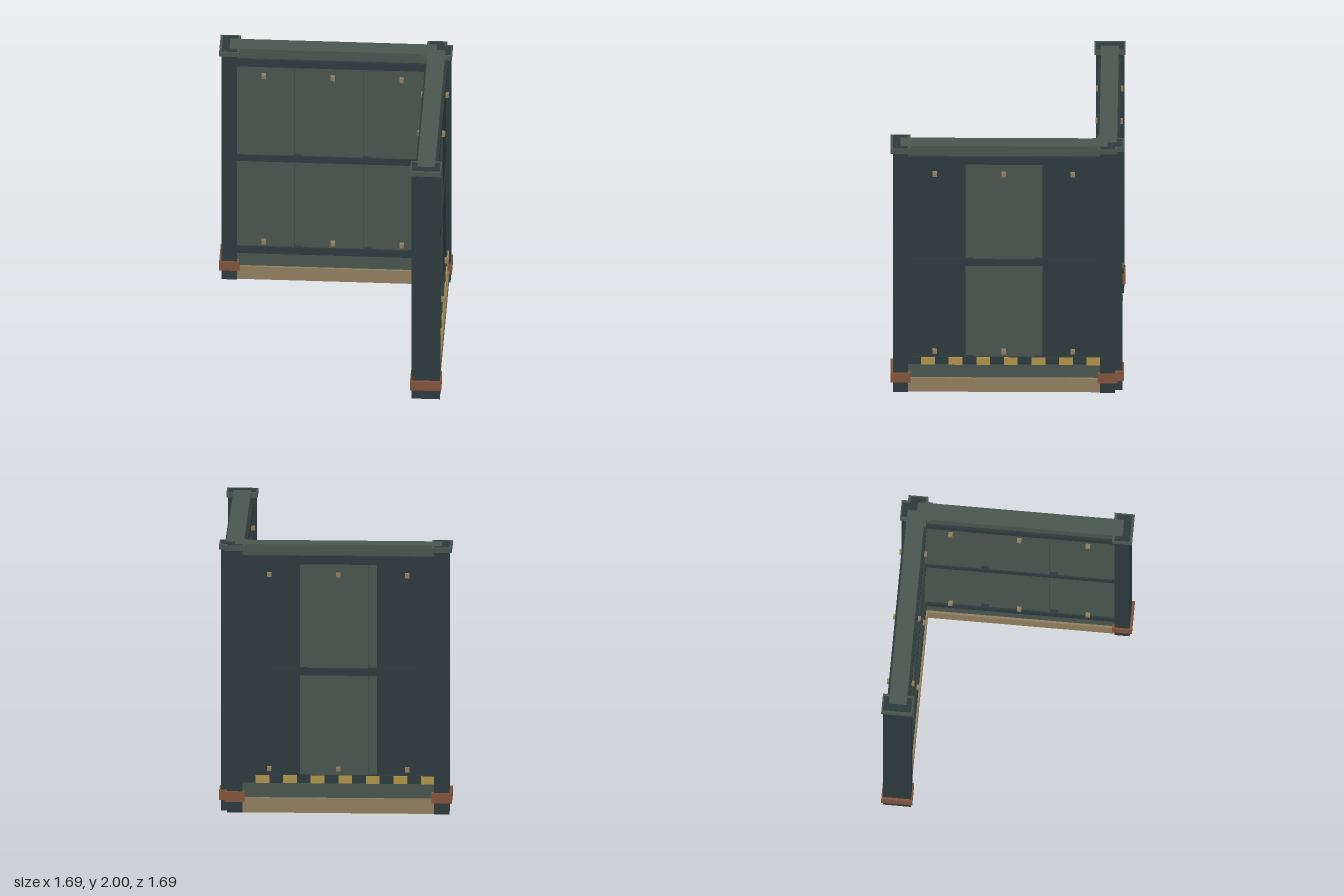
import * as THREE from 'three';

const mat = (color) => new THREE.MeshStandardMaterial({ color, flatShading: true });

export function createModel() {
  const light = mat(0x4a5751), dark = mat(0x2d3b3d), tan = mat(0x93805f);
  const rust = mat(0x84553d), yellow = mat(0xb2944b);

  // One wall: runs along x, its outer face looks towards -z
  function buildWall(name) {
    const wall = new THREE.Group();
    wall.name = name;

    // Box given by centre x, bottom, top, width, and its z range
    const box = (part, material, x, y0, y1, width, z0, z1) => {
      const mesh = new THREE.Mesh(new THREE.BoxGeometry(width, y1 - y0, z1 - z0), material);
      mesh.position.set(x, (y0 + y1) / 2, (z0 + z1) / 2);
      mesh.name = part;
      wall.add(mesh);
    };
    // Same, but centred on the wall's thickness
    const beam = (part, material, x, y0, y1, width, depth) =>
      box(part, material, x, y0, y1, width, -depth / 2, depth / 2);

    // Horizontal members
    beam('kickBoard', tan, 0, 0, 0.11, 1.41, 0.184);
    beam('sill', light, 0, 0.11, 0.22, 1.41, 0.15);
    beam('lowerRail', dark, 0, 0.22, 0.28, 1.41, 0.164);
    beam('middleRail', dark, 0, 1.025, 1.08, 1.41, 0.156);
    beam('upperRail', dark, 0, 1.857, 1.92, 1.41, 0.164);
    beam('topRail', light, 0, 1.92, 2, 1.5, 0.128);

    // Recessed core with three plates on each face
    beam('core', light, 0, 0.28, 1.857, 1.41, 0.1);
    for (const [x, width] of [[-0.49, 0.42], [0, 0.44], [0.49, 0.42]]) {
      box('innerPlate', light, x, 0.28, 1.857, width, 0.05, 0.07);
      box('outerPlate', x ? dark : light, x, 0.28, 1.857, width, -0.07, -0.05);
    }

    // Bolts at the head and foot of every plate
    for (const x of [-0.5, 0, 0.5])
      for (const y of [0.328, 1.78])
        beam('bolt', tan, x, y - 0.016, y + 0.016, 0.032, 0.2);

    // Warning blocks along the outer lower rail
    for (let i = 0; i < 7; i++)
      box('warningBlock', yellow, -0.65 + 0.2 * i, 0.221, 0.279, 0.1, -0.092, -0.08);

    // End posts with cap and foot band
    for (const x of [-0.75, 0.75]) {
      beam('post', dark, x, 0, 1.999, 0.11, 0.205);
      beam('postCap', light, x, 1.96, 1.9975, 0.146, 0.226);
      beam('footBand', rust, x, 0.083, 0.16, 0.146, 0.226);
    }
    return wall;
  }

  const model = new THREE.Group();
  model.name = 'cornerWall';

  const back = buildWall('backWall');
  back.position.set(-0.025, 0, -0.733);

  const side = buildWall('leftWall');
  side.rotation.y = -Math.PI / 2;
  side.position.set(0.726, 0, 0.0225);

  model.add(back, side);
  return model;
}
